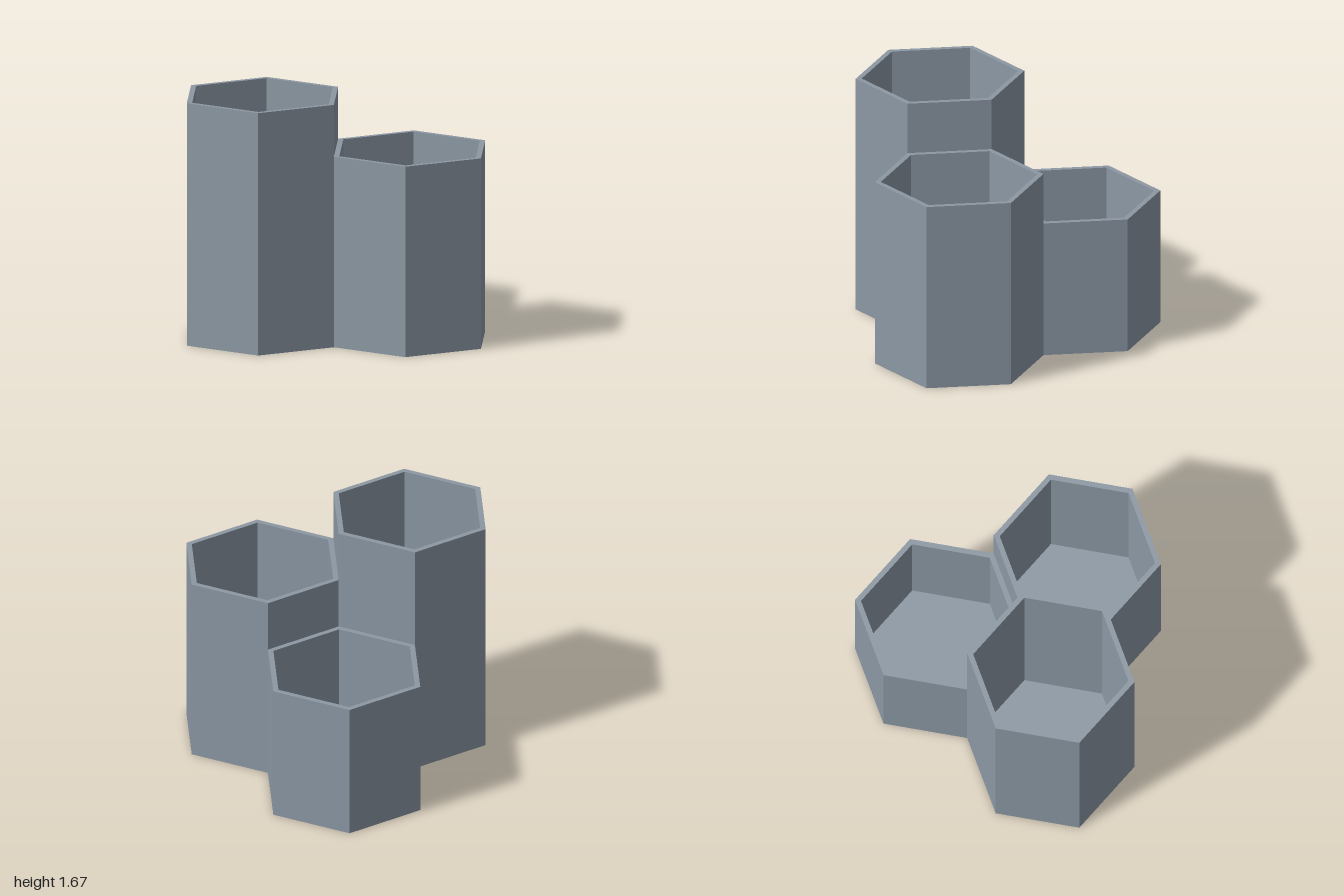
import * as THREE from 'three';

const R = 4 / 7;                          // hexagon corner radius
const APOTHEM = R * Math.cos(Math.PI / 6);
const WALL = 0.0357;                      // wall thickness
const FLOOR = 0.048;                      // floor thickness
const INNER_R = R - WALL / Math.cos(Math.PI / 6);

// Hollow hexagonal cup: one closed profile turned in six flat steps
function hexCup(height) {
  const profile = [
    [0, 0], [R, 0], [R, height], [INNER_R, height], [INNER_R, FLOOR], [0, FLOOR],
  ].map(([x, y]) => new THREE.Vector2(x, y));
  const geometry = new THREE.LatheGeometry(profile, 6).toNonIndexed();
  geometry.computeVertexNormals();
  return geometry;
}

export function createModel() {
  const group = new THREE.Group();
  group.name = 'hexagonalOrganizer';

  const blueGrey = new THREE.MeshStandardMaterial({ color: 0x8c98a4, flatShading: true });
  blueGrey.name = 'blueGrey';

  // Three cups share walls, each a step shorter than the last
  const cups = [
    ['tallCup', -APOTHEM, 0.75 * R, 1.667],
    ['middleCup', APOTHEM, 0.75 * R, 1.31],
    ['shortCup', 0, -0.75 * R, 0.952],
  ];
  for (const [name, x, z, height] of cups) {
    const cup = new THREE.Mesh(hexCup(height), blueGrey);
    cup.name = name;
    cup.position.set(x, 0, z);
    group.add(cup);
  }
  return group;
}
